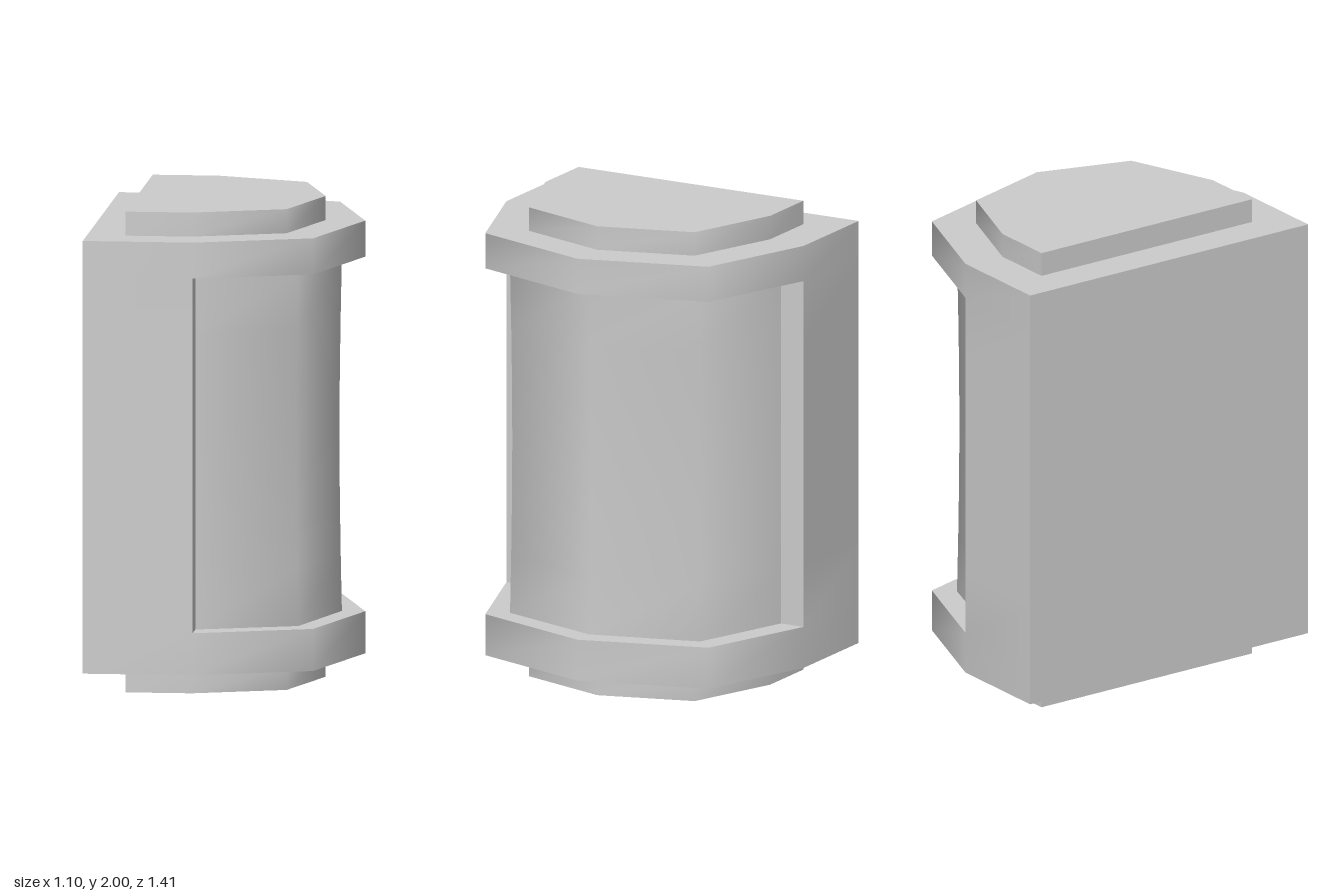
import * as THREE from 'three';
import { toCreasedNormals } from 'three/addons/utils/BufferGeometryUtils.js';

const material = new THREE.MeshStandardMaterial({ color: 0xcccccc });

// Mirror a half outline [x, z] (back corner to front tip) into a closed ring at height y
function ring(y, half) {
  const mirrored = half.slice(0, -1).reverse().map(([x, z]) => [x, -z]);
  return [...half, ...mirrored].map(([x, z]) => new THREE.Vector3(x, y, z));
}

// Join rings of equal point count from bottom to top, leaving out empty triangles
function loft(name, rings) {
  const points = [];
  const triangle = new THREE.Triangle();
  const add = (a, b, c) => {
    if (triangle.set(a, b, c).getArea() > 1e-7) points.push(a, b, c);
  };
  for (let i = 0; i < rings.length - 1; i++) {
    const low = rings[i], high = rings[i + 1];
    for (let j = 0; j < low.length; j++) {
      const k = (j + 1) % low.length;
      add(low[j], low[k], high[k]);
      add(low[j], high[k], high[j]);
    }
  }
  const geometry = new THREE.BufferGeometry().setFromPoints(points);
  const mesh = new THREE.Mesh(toCreasedNormals(geometry, 1.05), material);
  mesh.name = name;
  return mesh;
}

// The third point repeats the second where there is no recess step
const outer = [[-0.55, 0.706], [-0.095, 0.706], [-0.095, 0.706], [0.385, 0.53], [0.545, 0]];
const plate = [[-0.392, 0.534], [-0.117, 0.534], [-0.117, 0.534], [0.262, 0.394], [0.381, 0]];
const centre = plate.map(() => [-0.05, 0]);

// Recessed outline, bowed slightly inward at mid height
const recess = (bow) => [
  [-0.55, 0.706], [-0.095, 0.706], [-0.095, 0.598],
  [0.316 - bow, 0.452 - bow * 0.5], [0.448 - bow, 0],
];

export function createModel() {
  const group = new THREE.Group();

  // Body: flat back, lower band, recessed panel, upper band
  const low = 0.275, high = 1.75, steps = 6;
  const rings = [ring(0.1, plate), ring(0.1, outer), ring(low, outer)];
  for (let i = 0; i <= steps; i++) {
    const t = i / steps;
    rings.push(ring(low + (high - low) * t, recess(0.01 * Math.sin(Math.PI * t))));
  }
  rings.push(ring(high, outer), ring(1.9, outer), ring(1.9, plate));
  group.add(loft('body', rings));

  // Raised end plates
  group.add(loft('bottomPlate', [ring(0, centre), ring(0, plate), ring(0.1, plate)]));
  group.add(loft('topPlate', [ring(1.9, plate), ring(2, plate), ring(2, centre)]));

  return group;
}
